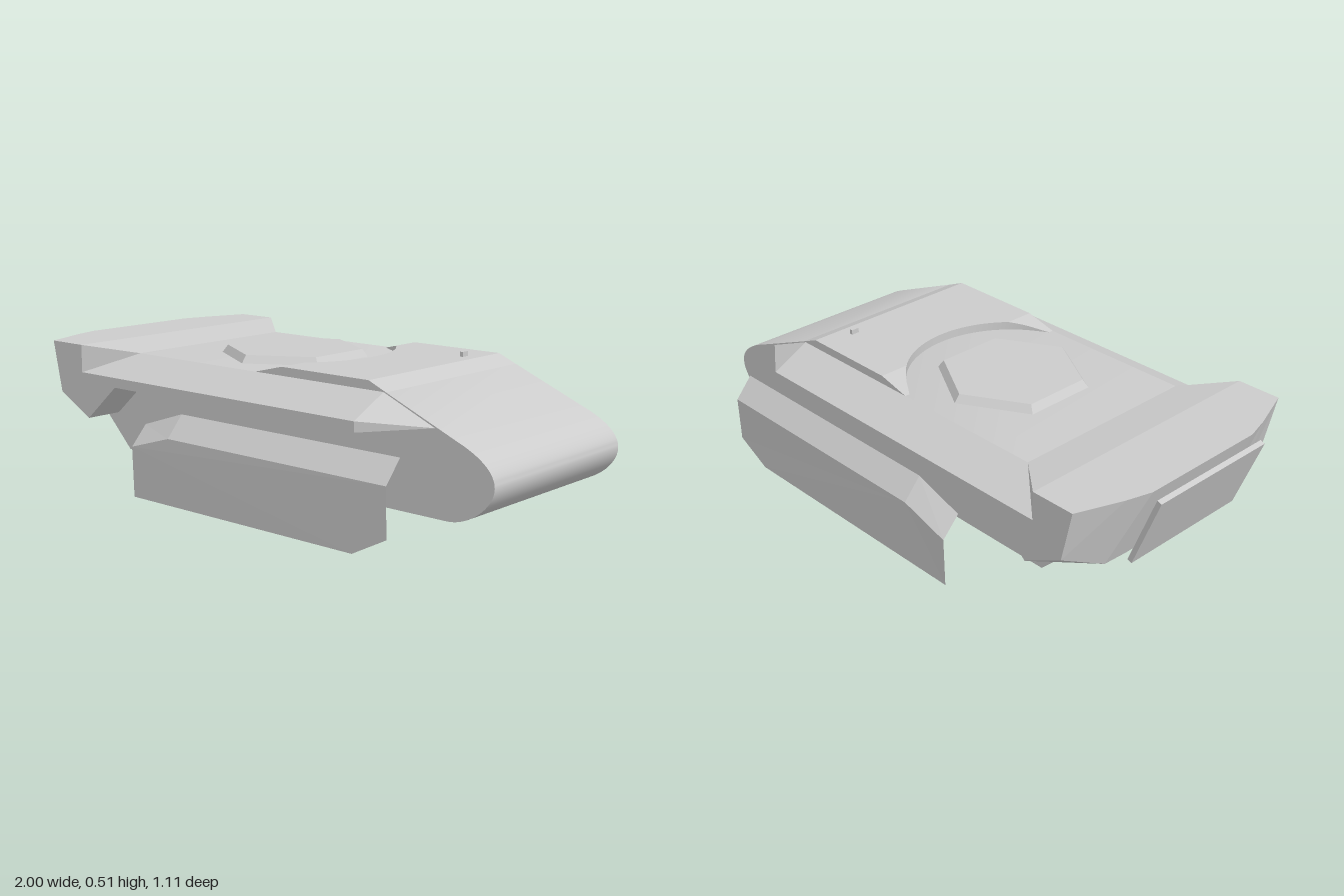
import * as THREE from 'three';
import { toCreasedNormals } from 'three/addons/utils/BufferGeometryUtils.js';

const W = 0.355; // half width of the central hull
const S = 0.495; // half width over the sponsons
const DECK = 0.465;

const grey = (extra = {}) => new THREE.MeshStandardMaterial({ color: 0xcccccc, ...extra });

function add(parent, name, geometry, material = grey()) {
  const mesh = new THREE.Mesh(geometry, material);
  mesh.name = name;
  parent.add(mesh);
  return mesh;
}

// Flat polygons (corner lists), fanned into triangles; sign -1 mirrors across z = 0
function polygons(faces, sign) {
  const pos = [];
  for (const face of faces) {
    const f = face.map(([x, y, z]) => [x, y, z * sign]);
    if (sign < 0) f.reverse();
    for (let i = 1; i < f.length - 1; i++) pos.push(...f[0], ...f[i], ...f[i + 1]);
  }
  const g = new THREE.BufferGeometry();
  g.setAttribute('position', new THREE.Float32BufferAttribute(pos, 3));
  g.computeVertexNormals();
  return g;
}

// Central hull: side profile with a rounded nose
function hullGeometry() {
  const s = new THREE.Shape();
  s.moveTo(-0.62, 0.1);
  s.lineTo(0.83, 0.1);
  s.bezierCurveTo(0.91, 0.1, 1, 0.17, 1, 0.23);
  s.bezierCurveTo(1, 0.285, 0.93, 0.325, 0.86, 0.352);
  s.lineTo(0.59, DECK);
  s.lineTo(-0.55, DECK);
  s.lineTo(-0.75, 0.46);
  s.lineTo(-0.75, 0.23);
  s.closePath();
  const g = new THREE.ExtrudeGeometry(s, { depth: 2 * W, bevelEnabled: false, curveSegments: 16 });
  g.translate(0, 0, -W);
  return toCreasedNormals(g, 0.5);
}

// Raised front deck with a round cut-out behind it, from cross-sections along z
function frontDeckGeometry() {
  const n = 40;
  const section = (z) => {
    const arc = -0.12 + Math.sqrt(Math.max(0, 0.365 ** 2 - z * z));
    const a = Math.max(arc, 0.03);
    const h = DECK + 0.03 * Math.min(1, (a - 0.03) / 0.12);
    return [[a, DECK], [a, h], [Math.max(a, 0.15), 0.495], [0.52, 0.495], [0.59, DECK]]
      .map(([x, y]) => [x, y, z]);
  };
  const rows = [];
  for (let i = 0; i <= n; i++) rows.push(section(-W + (2 * W * i) / n));
  const drop = (row) => row.map(([x, , z]) => [x, DECK, z]);
  rows.unshift(drop(rows[0]));
  rows.push(drop(rows[rows.length - 1]));
  const faces = [];
  for (let i = 0; i < rows.length - 1; i++) {
    for (let j = 0; j < 4; j++) {
      faces.push([rows[i][j], rows[i + 1][j], rows[i + 1][j + 1], rows[i][j + 1]]);
    }
  }
  return toCreasedNormals(polygons(faces, 1), 0.2);
}

// One half of the rear block together with its sponson
function upperSideFaces() {
  const A = [-0.87, 0.495, S], B = [-0.93, 0.495, 0.33], C = [-0.955, 0.495, 0.24];
  const D = [-0.71, 0.495, S], E = [-0.55, DECK, W], F = [-0.71, 0.395, S];
  const G = [-0.83, 0.31, S], H = [-0.68, 0.23, S], I = [-0.86, 0.23, 0.33];
  const Ib = [-0.865, 0.23, 0.24];
  const J = [-0.53, 0.36, S], K = [0.58, 0.36, S], L = [0.58, 0.395, S];
  const M = [0.58, DECK, W], N = [0.78, 0.38, W];
  const P = [-0.53, 0.36, W], Q = [-0.68, 0.23, W], R = [0.58, 0.36, W];
  const mid = ([x, y]) => [x, y, 0];
  return [
    [D, mid(D), mid(C), C, B, A], // rear roof
    [E, mid(E), mid(D), D], // ramp to the deck
    [D, F, E], // step
    [F, L, M, E], // sponson slope
    [A, G, F, D], [G, H, J, F], [F, J, K, L], // side wall
    [L, K, N], [L, N, M], [K, R, N], // tapered sponson front
    [J, P, R, K], [H, Q, P, J], // underside
    [I, Ib, mid(Ib), mid(Q), H], // rear floor
    [G, I, H], [A, B, I, G], [B, C, Ib, I], [C, mid(C), mid(Ib), Ib], // rear corner and wall
  ];
}

// Thin side skirt: sloped fender strip and hanging plate
function skirtFaces() {
  const inner = [[-0.375, 0.25, 0.49], [-0.19, 0.31, 0.49], [0.755, 0.31, 0.49]];
  const outer = [[-0.375, 0.18, 0.555], [-0.19, 0.235, 0.555], [0.755, 0.235, 0.555]];
  const low = [[-0.375, 0, 0.55], [0.62, 0, 0.55], [0.755, 0.07, 0.551]];
  return [
    [inner[0], outer[0], outer[1], inner[1]],
    [inner[1], outer[1], outer[2], inner[2]],
    [outer[0], ...low, outer[2], outer[1]],
  ];
}

export function createModel() {
  const model = new THREE.Group();
  model.name = 'armouredHull';

  add(model, 'hull', hullGeometry());
  add(model, 'frontDeck', frontDeckGeometry());

  for (const sign of [1, -1]) {
    const side = sign > 0 ? 'Front' : 'Back';
    add(model, 'sponson' + side, polygons(upperSideFaces(), sign));
    add(model, 'skirt' + side, polygons(skirtFaces(), sign), grey({ side: THREE.DoubleSide }));
  }

  // Hexagonal turret base with a bevelled rim
  const hex = add(model, 'turretBase',
    new THREE.CylinderGeometry(0.247, 0.27, 0.03, 6), grey({ flatShading: true }));
  hex.position.set(-0.12, 0.477, 0);

  // Slanted plate behind the rear wall
  const plate = add(model, 'rearPlate', new THREE.BoxGeometry(0.018, 0.28, 0.5));
  plate.position.set(-0.94, 0.348, 0);
  plate.rotation.z = 0.36;

  // Small sight block on the front deck
  const sight = add(model, 'sight', new THREE.BoxGeometry(0.012, 0.03, 0.03));
  sight.position.set(0.47, 0.497, -0.217);

  return model;
}
